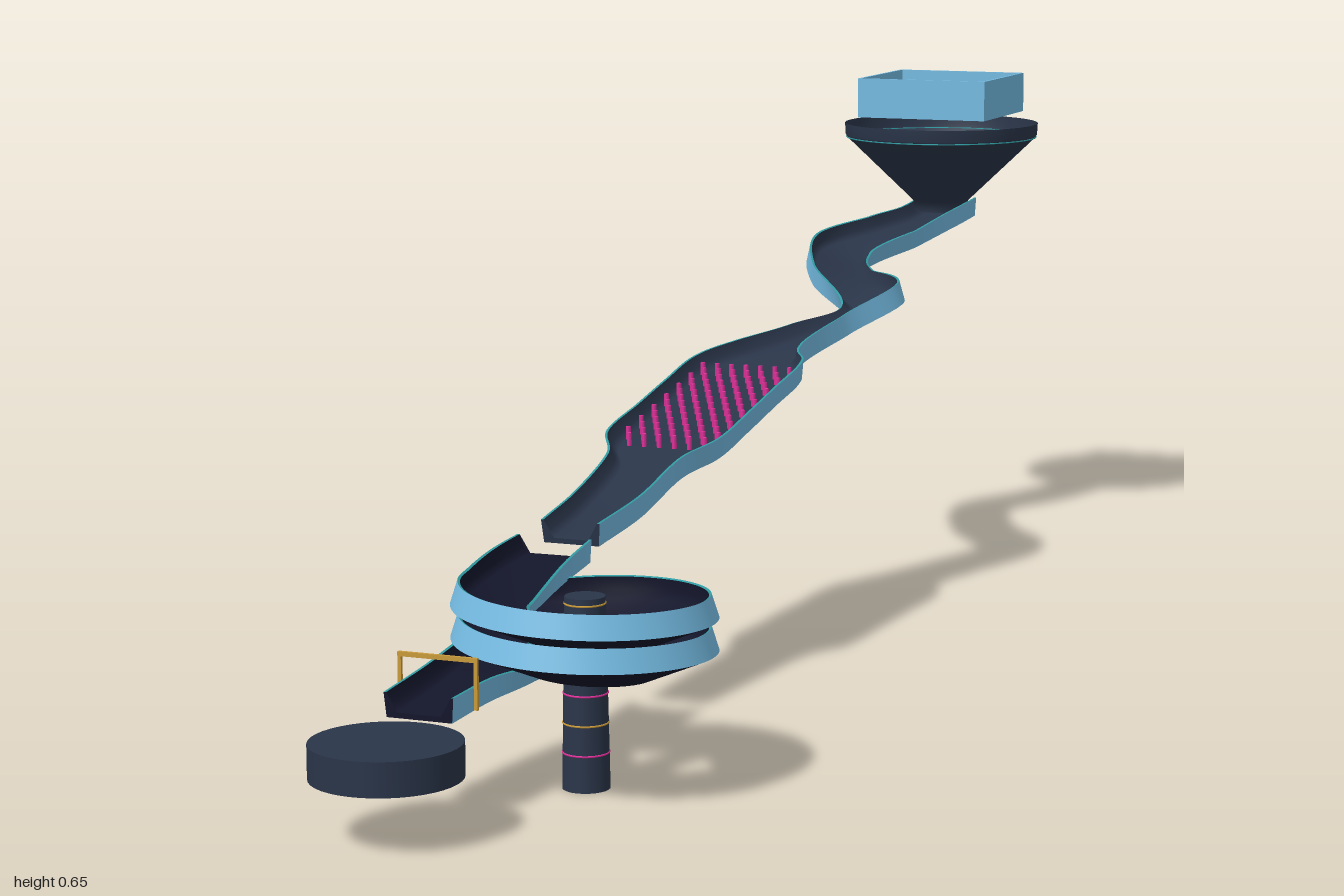
import * as THREE from 'three';

const mat = (name, color, side = THREE.FrontSide) => {
  const m = new THREE.MeshStandardMaterial({ color, side });
  m.name = name;
  return m;
};

export function createModel() {
  const D = THREE.DoubleSide;
  const navy = mat('navy', 0x2a3549, D), dark = mat('midnight', 0x14162b, D);
  const blue = mat('sky blue', 0x74bbe2, D), teal = mat('teal', 0x2f9aa0, D);
  const indigo = mat('indigo', 0x33426a), magenta = mat('magenta', 0xe0309a);
  const gold = mat('gold', 0xc99a3a);
  const model = new THREE.Group();
  model.name = 'marbleRun';

  const add = (parent, name, geo, material, x = 0, y = 0, z = 0) => {
    const m = new THREE.Mesh(geo, material);
    m.name = name;
    m.position.set(x, y, z);
    parent.add(m);
    return m;
  };
  const group = (name) => {
    const g = new THREE.Group();
    g.name = name;
    model.add(g);
    return g;
  };

  // Sweep an open cross-section along the stations
  const strip = (stations, profile) => {
    const pos = [], idx = [];
    stations.forEach((s, i) => {
      const pts = profile(s.w);
      pts.forEach(([u, v], j) => {
        const p = s.p.clone().addScaledVector(s.side, u).addScaledVector(s.up, v);
        pos.push(p.x, p.y, p.z);
        if (i && j) {
          const n = pts.length, d = i * n + j, c = d - 1, b = d - n, a = b - 1;
          idx.push(a, c, b, b, c, d);
        }
      });
    });
    const g = new THREE.BufferGeometry();
    g.setAttribute('position', new THREE.Float32BufferAttribute(pos, 3));
    g.setIndex(idx);
    g.computeVertexNormals();
    return g;
  };

  // Banked channel through points [x, y, z, half width, bank]
  const channel = (name, points, steps, floorMat) => {
    const path = new THREE.CatmullRomCurve3(points.map((p) => new THREE.Vector3(p[0], p[1], p[2])), false, 'catmullrom');
    const shape = new THREE.CatmullRomCurve3(points.map((p) => new THREE.Vector3(p[3], p[4], 0)), false, 'catmullrom');
    const stations = [];
    for (let i = 0; i <= steps; i++) {
      const t = i / steps, T = path.getTangent(t), e = shape.getPoint(t);
      const side = new THREE.Vector3(T.z, 0, -T.x).normalize().multiplyScalar(Math.cos(e.y));
      side.y = Math.sin(e.y);
      stations.push({ p: path.getPoint(t), w: e.x, side, up: T.clone().cross(side).normalize() });
    }
    const h = 0.021, b = -0.006, r = 0.003;
    const g = group(name);
    add(g, 'channelFloor', strip(stations, (w) => [[r - w, h], [0.007 - w, 0.007], [0.015 - w, 0],
      [w - 0.015, 0], [w - 0.007, 0.007], [w - r, h]]), floorMat);
    add(g, 'channelUnderside', strip(stations, (w) => [[w * 0.94, b], [-w * 0.94, b]]), dark);
    for (const s of [-1, 1]) {
      const order = (list) => (s < 0 ? list : list.reverse());
      add(g, 'channelWall', strip(stations, (w) => order([[s * w * 0.94, b], [s * w, h]])), blue);
      add(g, 'channelRim', strip(stations, (w) => order([[s * w, h], [s * (w - r), h]])), teal);
    }
    // End faces of the channel body
    for (const st of [stations[0], stations[steps]]) {
      const cap = (q) => strip([0, 1].map((k) => ({ ...st, w: k })), q);
      const w = st.w;
      add(g, 'channelEnd', cap((k) => (k ? [[-w * 0.94, b], [w * 0.94, b]] : [[0.015 - w, 0], [w - 0.015, 0]])), floorMat);
      for (const s of [-1, 1])
        add(g, 'channelEnd', cap((k) => (k ? [[s * w * 0.94, b], [s * w, h]] : [[s * (w - 0.015), 0], [s * (w - r), h]])), floorMat);
    }
  };

  // Slalom, wide peg bed and tapering outlet
  channel('slalomTrack', [
    [-0.06, 0.452, -0.9, 0.042, 0], [-0.06, 0.445, -0.8, 0.042, 0], [-0.085, 0.432, -0.72, 0.042, -0.2],
    [-0.13, 0.412, -0.62, 0.042, -0.35], [-0.08, 0.395, -0.49, 0.042, -0.1], [0.008, 0.378, -0.38, 0.042, 0.4],
    [-0.022, 0.358, -0.25, 0.042, 0.2], [-0.055, 0.34, -0.15, 0.05, 0], [-0.06, 0.328, -0.09, 0.074, 0],
    [-0.06, 0.312, 0, 0.075, 0], [-0.06, 0.295, 0.09, 0.075, 0], [-0.06, 0.278, 0.185, 0.074, 0],
    [-0.06, 0.262, 0.245, 0.048, 0], [-0.06, 0.236, 0.35, 0.042, 0], [-0.06, 0.222, 0.46, 0.036, 0],
  ], 180, navy);

  // Two-turn spiral with straight entry and exit
  const spiral = [[-0.062, 0.212, 0.5, 0.045, 0], [-0.06, 0.206, 0.58, 0.043, -0.15]];
  for (let k = 0; k <= 32; k++) {
    const a = (k / 32) * Math.PI * 4;
    spiral.push([0.05 - 0.105 * Math.cos(a), 0.196 - 0.0355 * k / 16, 0.67 + 0.105 * Math.sin(a), 0.041, -0.4]);
  }
  spiral.push([-0.06, 0.117, 0.75, 0.04, -0.1], [-0.06, 0.112, 0.845, 0.04, 0]);
  channel('spiralTrack', spiral, 220, dark);

  // Staggered pegs
  const pegs = group('pegField');
  const pegGeo = new THREE.CylinderGeometry(0.003, 0.003, 0.016, 6);
  for (let r = 0; r < 14; r++) {
    const z = -0.08 + r * 0.02, n = r % 2 ? 6 : 7;
    for (let c = 0; c < n; c++)
      add(pegs, 'peg', pegGeo, magenta, -0.06 + (c - (n - 1) / 2) * 0.0195, 0.3195 - 0.18 * z, z);
  }

  // Funnel
  const funnel = group('funnel');
  funnel.position.set(-0.06, 0, -0.86);
  const outline = [[0.039, 0.457], [0.04, 0.472], [0.137, 0.565], [0.139, 0.568], [0.14, 0.585]];
  add(funnel, 'funnelCone', new THREE.LatheGeometry(outline.map((p) => new THREE.Vector2(...p)), 40), navy);
  add(funnel, 'funnelBand', new THREE.TorusGeometry(0.1375, 0.001, 6, 48), teal, 0, 0.565).rotation.x = Math.PI / 2;

  // Open hopper tray above the funnel
  const hopper = group('hopper');
  hopper.position.set(-0.06, 0.625, -0.86);
  for (const s of [-1, 1]) {
    add(hopper, 'hopperWall', new THREE.BoxGeometry(0.19, 0.056, 0.004), blue, 0, 0, s * 0.093);
    add(hopper, 'hopperWall', new THREE.BoxGeometry(0.004, 0.056, 0.182), blue, s * 0.093, 0, 0);
  }
  add(hopper, 'hopperFloor', new THREE.BoxGeometry(0.182, 0.004, 0.182), indigo, 0, -0.025, 0);

  // Support post with alternating rings
  const post = group('supportPost');
  post.position.set(0.05, 0, 0.67);
  add(post, 'postColumn', new THREE.CylinderGeometry(0.022, 0.026, 0.21, 24), navy, 0, 0.105, 0);
  for (let i = 0; i < 6; i++) {
    const y = 0.04 + i * 0.0325;
    add(post, 'postRing', new THREE.TorusGeometry(0.0258 - y * 0.019, 0.0012, 6, 24), i % 2 ? gold : magenta, 0, y, 0)
      .rotation.x = Math.PI / 2;
  }

  // Finish gate
  const gate = group('finishGate');
  gate.position.set(-0.06, 0, 0.8);
  for (const s of [-1, 1])
    add(gate, 'gatePost', new THREE.BoxGeometry(0.004, 0.055, 0.004), gold, s * 0.044, 0.1375, 0);
  add(gate, 'gateBar', new THREE.BoxGeometry(0.092, 0.005, 0.004), gold, 0, 0.163, 0);

  // Catch dish
  add(model, 'catchDish', new THREE.CylinderGeometry(0.08, 0.08, 0.037, 40), navy, -0.06, 0.084, 0.92);
  return model;
}
